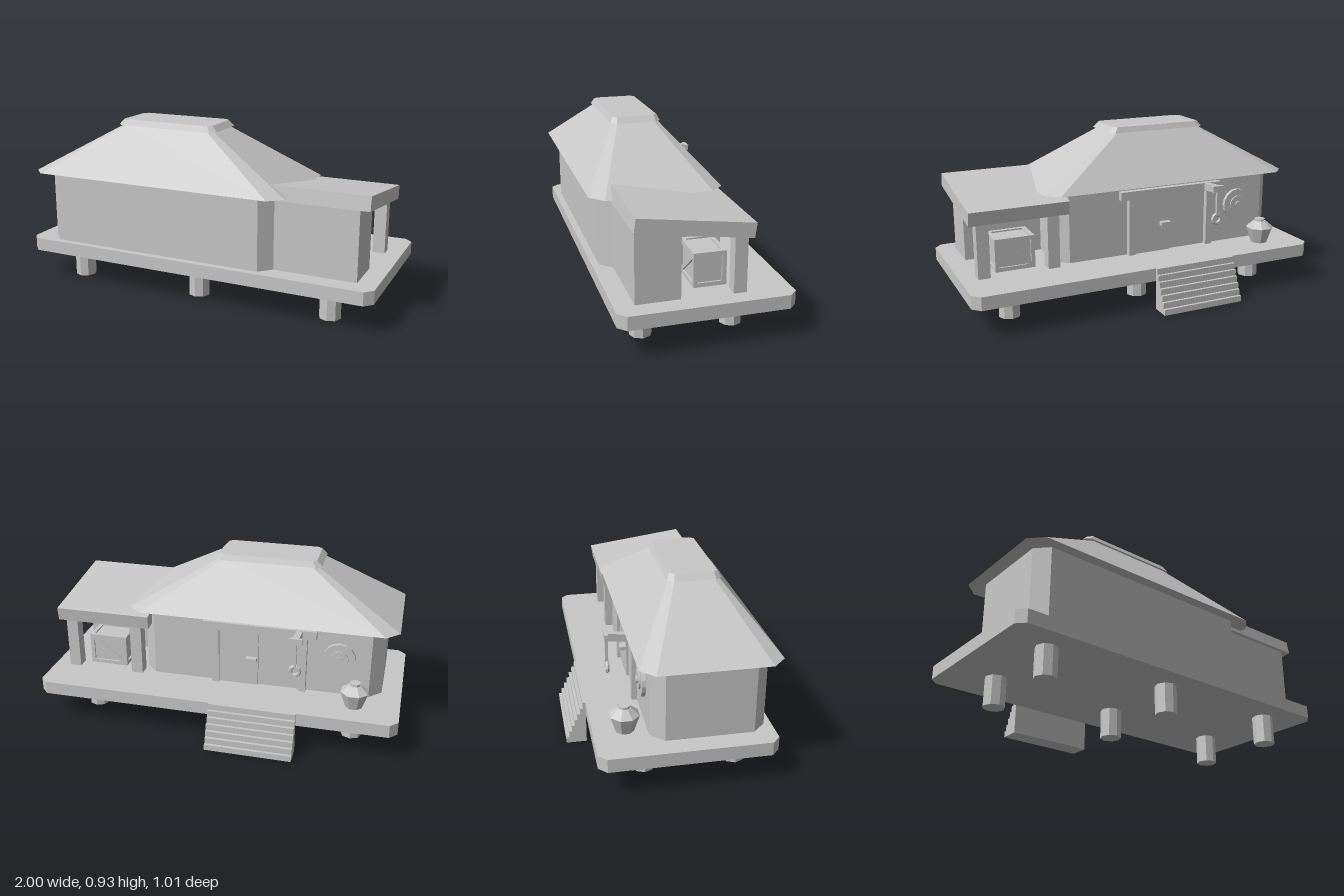
import * as THREE from 'three';

const grey = new THREE.MeshStandardMaterial({ color: 0xc8c8c8, flatShading: true });
grey.name = 'light grey';

function part(parent, name, geometry, x = 0, y = 0, z = 0) {
  const mesh = new THREE.Mesh(geometry, grey);
  mesh.name = name;
  mesh.position.set(x, y, z);
  parent.add(mesh);
  return mesh;
}

// Box given by its limits on each axis
function block(parent, name, [x0, x1], [y0, y1], [z0, z1]) {
  return part(parent, name, new THREE.BoxGeometry(x1 - x0, y1 - y0, z1 - z0),
    (x0 + x1) / 2, (y0 + y1) / 2, (z0 + z1) / 2);
}

// Rectangle with cut corners
function ring(y, x0, x1, z0, z1, c) {
  return [[x1, z0 + c], [x1, z1 - c], [x1 - c, z1], [x0 + c, z1],
    [x0, z1 - c], [x0, z0 + c], [x0 + c, z0], [x1 - c, z0]].map(([x, z]) => [x, y, z]);
}

// Closed solid between a lower and an upper ring
function loft(low, high) {
  const pos = [];
  const tri = (...points) => points.forEach((p) => pos.push(...p));
  for (let i = 0; i < 8; i++) {
    const j = (i + 1) % 8;
    tri(low[i], high[i], high[j]);
    tri(low[i], high[j], low[j]);
    if (i > 0 && i < 7) {
      tri(low[0], low[i], low[j]);
      tri(high[0], high[j], high[i]);
    }
  }
  const geo = new THREE.BufferGeometry();
  geo.setAttribute('position', new THREE.Float32BufferAttribute(pos, 3));
  geo.computeVertexNormals();
  return geo;
}

function addPlatform(house) {
  part(house, 'deck', loft(ring(0.16, -1, 1, -0.4, 0.487, 0.042), ring(0.232, -1, 1, -0.4, 0.487, 0.042)));
  for (const x of [-0.747, 0, 0.747]) {
    for (const z of [-0.147, 0.322]) {
      part(house, 'stilt', new THREE.CylinderGeometry(0.058, 0.058, 0.162, 8), x, 0.081, z);
    }
  }
  // Stairs: stepped side outline pushed along x
  const outline = new THREE.Shape();
  outline.moveTo(0.4, 0);
  outline.lineTo(0.4, 0.233);
  for (let i = 0; i < 7; i++) {
    const z = 0.415 + i * 0.0153;
    outline.lineTo(z, 0.233 - i * 0.0333);
    outline.lineTo(z, i < 6 ? 0.233 - (i + 1) * 0.0333 : 0);
  }
  const stairs = new THREE.ExtrudeGeometry(outline, { depth: 0.475, bevelEnabled: false });
  stairs.rotateY(Math.PI / 2);
  part(house, 'stairs', stairs, -0.47);
}

function addHall(house) {
  part(house, 'walls', loft(ring(0.23, -0.892, 0.46, -0.13, 0.45, 0.067), ring(0.63, -0.892, 0.46, -0.13, 0.45, 0.067)));
  part(house, 'mainRoof', loft(ring(0.625, -0.963, 0.53, -0.192, 0.507, 0.07), ring(0.895, -0.485, 0.055, 0.037, 0.285, 0.025)));
  part(house, 'roofCap', loft(ring(0.894, -0.515, 0.082, 0.022, 0.298, 0.03), ring(0.925, -0.485, 0.053, 0.037, 0.283, 0.022)));

  // Doorway on the back wall
  for (const x of [0.03, -0.46]) block(house, 'doorPost', [x - 0.02, x + 0.02], [0.232, 0.56], [-0.158, -0.125]);
  block(house, 'doorLintel', [-0.53, 0.1], [0.555, 0.603], [-0.165, -0.125]);
  block(house, 'doorPanel', [-0.21, 0.01], [0.232, 0.555], [-0.142, -0.125]);
  block(house, 'doorHandle', [-0.205, -0.145], [0.385, 0.405], [-0.175, -0.14]);

  // Round wall ornament
  for (const [r, depth] of [[0.088, 0.02], [0.05, 0.028], [0.018, 0.036]]) {
    part(house, 'wallDisc', new THREE.CylinderGeometry(r, r, depth, 16), -0.655, 0.45, -0.13 - depth / 2).rotation.x = Math.PI / 2;
  }

  // Projecting beam with a hanging ring
  const beam = block(house, 'hangerBeam', [-0.455, -0.42], [0.565, 0.605], [-0.28, -0.13]);
  beam.rotation.x = 0.1;
  block(house, 'hangerCrossbar', [-0.472, -0.402], [0.578, 0.612], [-0.292, -0.272]);
  block(house, 'hangerRod', [-0.443, -0.431], [0.445, 0.59], [-0.288, -0.272]);
  part(house, 'hangingRing', new THREE.TorusGeometry(0.025, 0.011, 6, 10), -0.437, 0.42, -0.278);
}

function addPorch(house) {
  block(house, 'storeRoom', [0.4, 0.897], [0.232, 0.6], [0.16, 0.386]);
  for (const x of [0.495, 0.877]) block(house, 'porchPost', [x - 0.033, x + 0.033], [0.232, 0.57], [-0.166, -0.1]);
  // Lean-to roof sloping down to the back
  const roof = part(house, 'porchRoof', new THREE.BoxGeometry(0.54, 0.075, 0.586), 0.68, 0.602, 0.105);
  roof.rotation.x = -0.137;
}

function addCrate(house) {
  const crate = new THREE.Group();
  crate.name = 'crate';
  crate.position.set(0.69, 0.232, -0.017);
  house.add(crate);
  const w = 0.11, d = 0.085, h = 0.18, t = 0.022;
  block(crate, 'crateBody', [-w + 0.01, w - 0.01], [0, h - 0.008], [-d + 0.01, d - 0.01]);
  for (const sx of [-1, 1]) {
    for (const sz of [-1, 1]) {
      part(crate, 'crateCorner', new THREE.BoxGeometry(t, h, t), sx * (w - t / 2), h / 2, sz * (d - t / 2));
    }
  }
  for (const y of [t / 2, h - t / 2]) {
    for (const s of [-1, 1]) {
      part(crate, 'crateRail', new THREE.BoxGeometry(2 * w, t, t), 0, y, s * (d - t / 2));
      part(crate, 'crateSideRail', new THREE.BoxGeometry(t, t, 2 * d), s * (w - t / 2), y, 0);
    }
  }
  for (const s of [-1, 1]) {
    const brace = part(crate, 'crateBrace', new THREE.BoxGeometry(0.25, t, 0.012), 0, h / 2, s * (d - 0.007));
    brace.rotation.z = Math.atan2(h - 0.03, 2 * w - 0.03);
  }
}

function addJar(house) {
  const profile = [[0, 0.232], [0.048, 0.232], [0.078, 0.322], [0.034, 0.36], [0.03, 0.36], [0.03, 0.372], [0, 0.372]];
  const jar = new THREE.LatheGeometry(profile.map(([r, y]) => new THREE.Vector2(r, y)), 8);
  part(house, 'jar', jar, -0.757, 0, -0.24).rotation.y = Math.PI / 8;
}

export function createModel() {
  const house = new THREE.Group();
  house.name = 'stiltHouse';
  addPlatform(house);
  addHall(house);
  addPorch(house);
  addCrate(house);
  addJar(house);
  return house;
}
